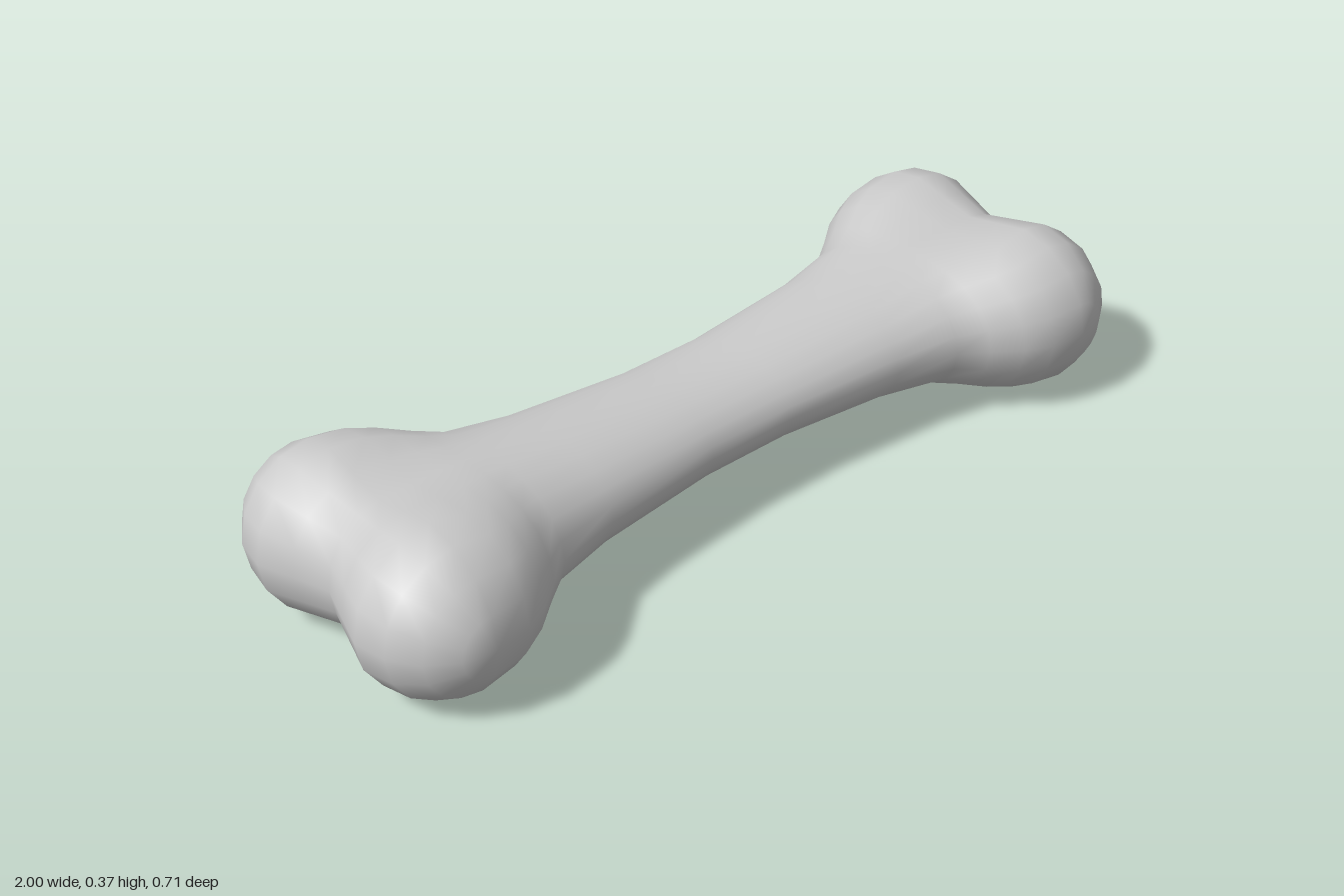
import * as THREE from 'three';
import { mergeVertices } from 'three/addons/utils/BufferGeometryUtils.js';

const MID_Y = 0.185;   // height of the bone's axis
const KNOB_X = 0.813;  // centre of the knuckles along the bone
const NOTCH = 0.02;    // extra depth of the notch between the knuckles

// Cross-sections from knuckle to middle: x, half width, half height,
// half height of the valley, lobedness (0 = ellipse, 1 = two lobes)
const SECTIONS = [
  [KNOB_X, 0.353, 0.185, 0.15, 1],
  [0.73, 0.342, 0.171, 0.15, 1],
  [0.67, 0.312, 0.16, 0.148, 0.85],
  [0.61, 0.266, 0.149, 0.144, 0.6],
  [0.55, 0.224, 0.14, 0.139, 0.3],
  [0.4, 0.191, 0.125, 0.125, 0],
  [0.11, 0.164, 0.105, 0.105, 0],
];

// Upper half of a cross-section, from +z over the top to -z, as [z, radius, dip]
function outline([, width, height, valley, lobed]) {
  const lobe = height * 1.04;
  const c = width - lobe;
  const quarter = [];
  for (let i = 0; i <= 6; i++) {
    const e = (i / 6) * Math.PI / 2;
    const a = (i / 4) * Math.PI / 2;
    const dip = Math.max(0, (i - 4) / 2);
    const z = i < 4 ? c + lobe * Math.cos(a) : c * (1 - dip);
    const r = i < 4 ? height * Math.sin(a) : THREE.MathUtils.lerp(height, valley, dip);
    quarter.push([
      THREE.MathUtils.lerp(width * Math.cos(e), z, lobed),
      THREE.MathUtils.lerp(height * Math.sin(e), r, lobed),
      dip,
    ]);
  }
  const mirrored = quarter.slice(0, 6).reverse().map(([z, r, dip]) => [-z, r, dip]);
  return [...quarter, ...mirrored];
}

// The outline travels along the top, round one end, back below and round the other end
function boneGeometry() {
  const along = [
    ...SECTIONS.map((s) => ({ x: -s[0], s })),
    ...[...SECTIONS].reverse().map((s) => ({ x: s[0], s })),
  ];
  const path = [];
  const turn = (x, start) => {
    for (let i = 1; i < 8; i++) path.push({ x, s: SECTIONS[0], angle: start - (i / 8) * Math.PI });
  };
  along.forEach((p) => path.push({ ...p, angle: Math.PI / 2 }));
  turn(KNOB_X, Math.PI / 2);
  [...along].reverse().forEach((p) => path.push({ ...p, angle: -Math.PI / 2 }));
  turn(-KNOB_X, -Math.PI / 2);

  const positions = [];
  for (const { x, s, angle } of path) {
    for (const [z, r, dip] of outline(s)) {
      positions.push(x + (r - NOTCH * dip) * Math.cos(angle), MID_Y + r * Math.sin(angle), z);
    }
  }
  const n = 13;
  const index = [];
  for (let i = 0; i < path.length; i++) {
    const next = (i + 1) % path.length;
    for (let j = 0; j < n - 1; j++) {
      const a = i * n + j, b = next * n + j;
      index.push(a, b, b + 1, a, b + 1, a + 1);
    }
  }
  const raw = new THREE.BufferGeometry();
  raw.setAttribute('position', new THREE.Float32BufferAttribute(positions, 3));
  raw.setIndex(index);
  // weld the seam between the upper and lower halves for smooth shading
  const geometry = mergeVertices(raw, 1e-4);
  geometry.computeVertexNormals();
  return geometry;
}

export function createModel() {
  const group = new THREE.Group();
  group.name = 'bone';
  const mesh = new THREE.Mesh(boneGeometry(), new THREE.MeshStandardMaterial({ color: 0xcccccc }));
  mesh.name = 'shaftAndKnuckles';
  group.add(mesh);
  return group;
}
